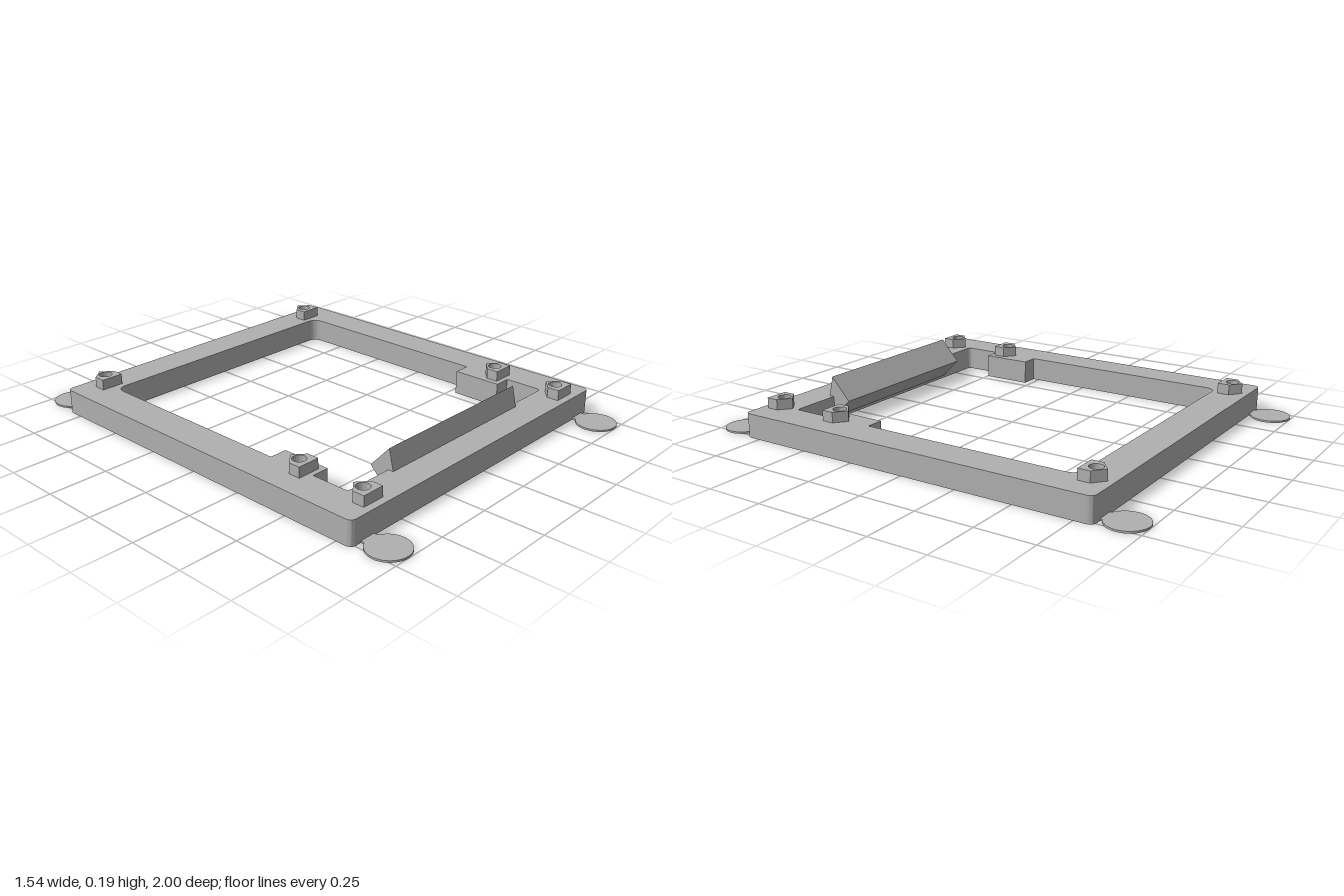
import * as THREE from 'three';
import { toCreasedNormals } from 'three/addons/utils/BufferGeometryUtils.js';

const TOP = 0.105, SINK = 0.035, HOLE = 0.028, SINK_R = 0.048;
const POSTS = [-0.755, 0.43, 0.74].flatMap((z) => [[-0.62, z], [0.62, z]]);

// Traces corners [x, z, radius] into a path, rounding where a radius is given
function roundedPath(path, corners) {
  const n = corners.length;
  corners.forEach(([x, z, r = 0], i) => {
    const p = new THREE.Vector2(x, -z);
    const toward = (j) => {
      const [a, b] = corners[(j + n) % n];
      return new THREE.Vector2(a, -b).sub(p).normalize().multiplyScalar(r).add(p);
    };
    const a = toward(i - 1), b = toward(i + 1);
    if (i === 0) path.moveTo(a.x, a.y);
    else path.lineTo(a.x, a.y);
    if (r) path.quadraticCurveTo(p.x, p.y, b.x, b.y);
  });
  path.closePath();
  return path;
}

function circle(x, z, r) {
  const path = new THREE.Path();
  path.absarc(x, -z, r, 0, Math.PI * 2, true);
  return path;
}

// Extrudes a plan shape upward from y0 to y1
function slab(shape, y0, y1) {
  const g = new THREE.ExtrudeGeometry(shape, { depth: y1 - y0, bevelEnabled: false, curveSegments: 24 });
  g.rotateX(-Math.PI / 2).translate(0, y0, 0);
  return toCreasedNormals(g, 0.6);
}

// Rectangular ring with two inner tabs and screw holes
function framePlan(holeRadius) {
  const shape = roundedPath(new THREE.Shape(), [
    [-0.77, 0.82, 0.03], [0.77, 0.82, 0.03], [0.77, -0.828, 0.03], [-0.77, -0.828, 0.03],
  ]);
  const half = [[0.62, -0.678, 0.05], [0.62, 0.28], [0.543, 0.28], [0.543, 0.5], [0.62, 0.5], [0.62, 0.67, 0.02]];
  const mirrored = half.map(([x, z, r]) => [-x, z, r]).reverse();
  shape.holes.push(roundedPath(new THREE.Path(), [...half, ...mirrored]));
  POSTS.forEach(([x, z]) => shape.holes.push(circle(x, z, holeRadius)));
  return shape;
}

export function createModel() {
  const model = new THREE.Group();
  const grey = new THREE.MeshStandardMaterial({ color: 0xb0b0b0, side: THREE.DoubleSide });
  grey.name = 'plain grey';
  const add = (name, geometry) => {
    const mesh = new THREE.Mesh(geometry, grey);
    mesh.name = name;
    model.add(mesh);
    return mesh;
  };

  // Frame: wider screw holes in the lower layer
  add('frameLower', slab(framePlan(SINK_R), 0, SINK));
  add('frameUpper', slab(framePlan(HOLE), SINK, TOP));

  // Pointed posts with a through hole, and a countersink beneath each
  POSTS.forEach(([x, z]) => {
    const house = roundedPath(new THREE.Shape(), [
      [x - 0.05, z + 0.048], [x + 0.05, z + 0.048], [x + 0.05, z - 0.004], [x, z - 0.046], [x - 0.05, z - 0.004],
    ]);
    house.holes.push(circle(x, z, HOLE));
    add('post', slab(house, TOP, 0.15));
    const cone = new THREE.CylinderGeometry(HOLE, SINK_R, SINK, 32, 1, true);
    add('countersink', cone.translate(x, SINK / 2, z));
  });

  // Snap ledge: triangular nose overhanging the front inner edge
  const profile = new THREE.Shape([
    [0.697, 0.09], [0.673, 0.194], [0.585, 0.097], [0.672, 0.01],
  ].map(([z, y]) => new THREE.Vector2(-z, y)));
  const ledge = new THREE.ExtrudeGeometry(profile, { depth: 0.796, bevelEnabled: false });
  add('snapLedge', ledge.rotateY(Math.PI / 2).translate(-0.4, 0, 0));

  // Thin corner discs joined to the frame by short necks
  for (const sx of [-1, 1]) for (const sz of [-1, 1]) {
    const disc = new THREE.CylinderGeometry(0.086, 0.086, 0.008, 40);
    add('cornerDisc', disc.translate(sx * 0.685, 0.004, sz * 0.914));
    const neck = new THREE.BoxGeometry(0.07, 0.008, 0.05);
    add('discNeck', neck.translate(sx * 0.685, 0.004, sz * 0.835));
  }
  return model;
}
